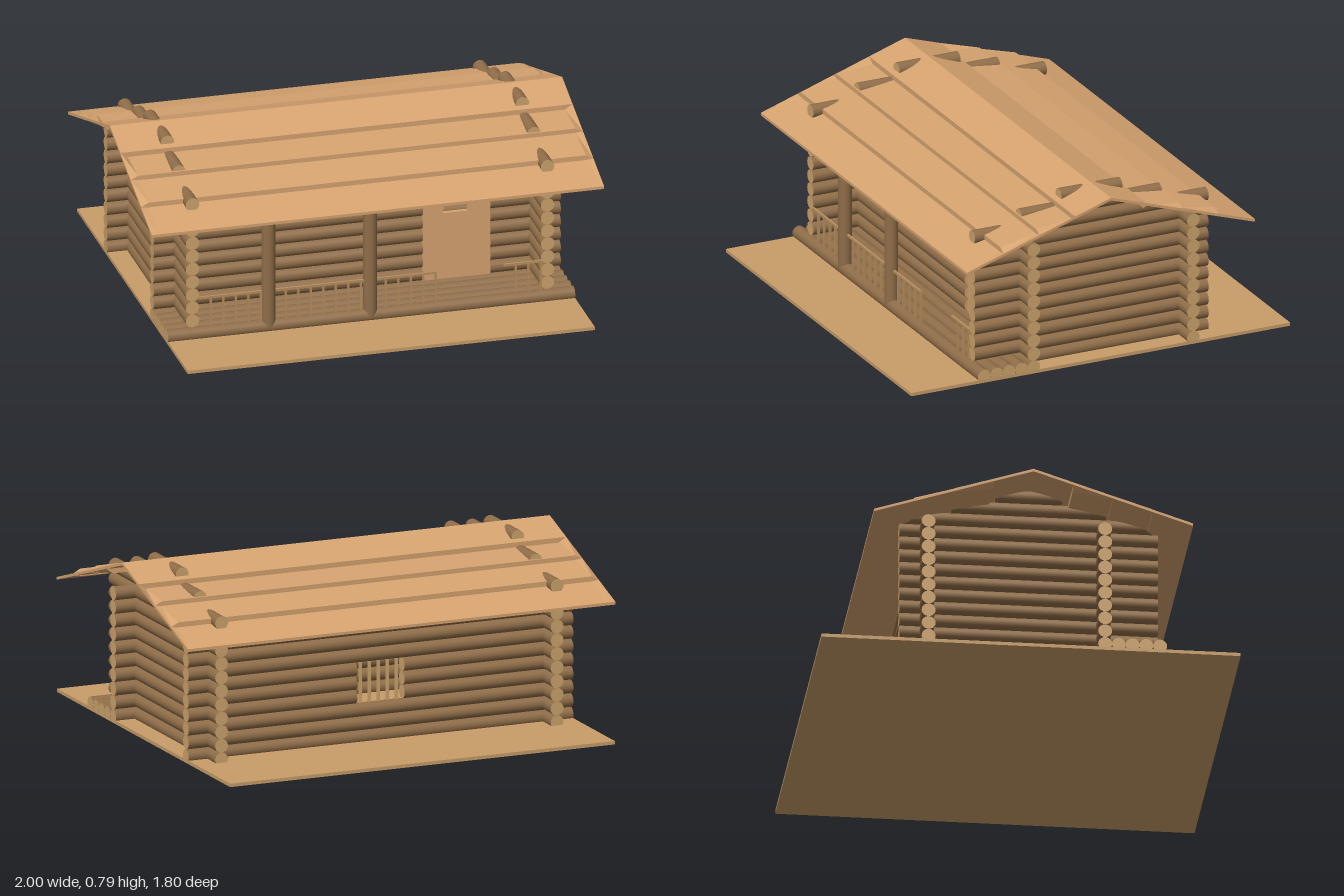
import * as THREE from 'three';

const mat = (color) => new THREE.MeshStandardMaterial({ color });
const bark = mat(0x8f6d48), cut = mat(0xcda36c), plank = mat(0xd6a36f), baseMat = mat(0xc89c68), railMat = mat(0xb88f5e);
const R = 0.03, STEP = 0.06;
const FRONT = 0.318, BACK = -0.44, SIDE = 0.785;

export function createModel() {
  const model = new THREE.Group();

  const add = (parent, name, geometry, material, x, y, z) => {
    const mesh = new THREE.Mesh(geometry, material);
    mesh.name = name;
    mesh.position.set(x, y, z);
    parent.add(mesh);
    return mesh;
  };
  const box = (parent, name, w, h, d, material, x, y, z) =>
    add(parent, name, new THREE.BoxGeometry(w, h, d), material, x, y, z);
  const group = (name) => {
    const g = new THREE.Group();
    g.name = name;
    model.add(g);
    return g;
  };
  // Round log with bark around it and pale sawn ends, from a to b along an axis
  const log = (parent, name, axis, a, b, x, y, z) => {
    const g = new THREE.CylinderGeometry(R, R, b - a, 20);
    if (axis === 'x') g.rotateZ(Math.PI / 2);
    if (axis === 'z') g.rotateX(Math.PI / 2);
    const p = new THREE.Vector3(x, y, z);
    p[axis] = (a + b) / 2;
    return add(parent, name, g, [bark, cut, cut], p.x, p.y, p.z);
  };
  const height = (k) => R + STEP * k;

  box(model, 'groundSlab', 1.8, 0.015, 1.8, baseMat, 0, 0.0075, 0);

  // Front wall with a door opening, back wall with a window opening
  const frontWall = group('frontWall'), backWall = group('backWall');
  for (let k = 0; k < 10; k++) {
    const y = height(k);
    const front = k === 0 ? [[-0.9, 0.9]] : [[-0.9, 0.29], [0.59, 0.9]];
    const back = k >= 3 && k <= 5 ? [[-0.9, -0.11], [0.11, 0.9]] : [[-0.9, 0.9]];
    front.forEach(([a, b]) => log(frontWall, 'frontLog', 'x', a, b, 0, y, FRONT));
    back.forEach(([a, b]) => log(backWall, 'backLog', 'x', a, b, 0, y, BACK));
  }

  // Side walls, stepping in towards the ridge at the gable
  for (const s of [-1, 1]) {
    const wall = group(s > 0 ? 'leftWall' : 'rightWall');
    for (let k = 0; k < 13; k++) {
      const half = k < 11 ? 0.555 : k === 11 ? 0.333 : 0.145;
      log(wall, 'sideLog', 'z', -half, half, s * SIDE, height(k), 0);
    }
  }

  // Porch floor and posts
  const porch = group('porch');
  for (let i = 1; i <= 4; i++) log(porch, 'porchFloorLog', 'x', -0.9, 0.9, 0, R, FRONT + i * 0.059);
  for (const x of [-0.45, 0]) log(porch, 'porchPost', 'y', 0.03, 0.595, x, 0, 0.555);

  // Porch railing, open in front of the door
  const railing = group('railing');
  for (const [a, b] of [[-0.76, 0.29], [0.59, 0.76]]) {
    box(railing, 'topRail', b - a, 0.01, 0.01, railMat, (a + b) / 2, 0.193, 0.555);
    for (let x = a + 0.055; x < b + 0.01; x += 0.0553) {
      box(railing, 'baluster', 0.009, 0.14, 0.009, railMat, x, 0.123, 0.555);
    }
  }

  // Door with a square hole for its window
  const doorShape = new THREE.Shape();
  doorShape.moveTo(0.29, 0.06).lineTo(0.59, 0.06).lineTo(0.59, 0.6).lineTo(0.29, 0.6).closePath();
  const hole = new THREE.Path();
  hole.moveTo(0.385, 0.365).lineTo(0.385, 0.47).lineTo(0.492, 0.47).lineTo(0.492, 0.365).closePath();
  doorShape.holes.push(hole);
  const door = new THREE.ExtrudeGeometry(doorShape, { depth: 0.02, bevelEnabled: false });
  add(model, 'door', door, plank, 0, 0, FRONT - 0.005);

  // Upright bars in the back window
  const bars = group('windowBars');
  for (let i = -2; i <= 2; i++) box(bars, 'windowBar', 0.012, 0.19, 0.012, cut, i * 0.042, 0.27, BACK);

  model.add(makeRoof());
  return model;
}

// Two slopes of lapped boards; the laps flatten out to a straight edge at the gable ends
function makeRoof() {
  const roof = new THREE.Group();
  roof.name = 'roof';
  const line = (z) => 0.79 - 0.325 * z;
  const T = 0.012;
  // z and height of the board edges, from ridge to eave
  const boards = [[0, 0.79], [0.17, 0.734], [0.17, 0.712], [0.34, 0.695], [0.34, 0.675], [0.51, 0.642], [0.51, 0.62], [0.685, 0.568]];
  const stations = [-1, -0.967, 0.967, 1];

  const slope = (name, s) => {
    const ring = (x) => {
      const flat = Math.abs(x) === 1;
      const top = boards.map(([z, y]) => [x, flat ? line(z) : y, s * z]);
      // underside follows the boards so that it stays beneath the laps
      const under = boards.map(([z, y]) => [x, (flat ? line(z) : Math.min(y, line(z))) - T, s * z]).reverse();
      return [...top, ...under];
    };
    const rings = stations.map(ring);
    const n = rings[0].length, h = n / 2;
    const pos = [];
    const quad = (a, b, c, d) => {
      const order = s > 0 ? [a, b, c, a, c, d] : [a, c, b, a, d, c];
      order.forEach((p) => pos.push(...p));
    };
    for (let i = 0; i < rings.length - 1; i++) {
      for (let j = 0; j < n; j++) {
        const k = (j + 1) % n;
        quad(rings[i][j], rings[i][k], rings[i + 1][k], rings[i + 1][j]);
      }
    }
    // gable end caps
    const first = rings[0], last = rings[rings.length - 1];
    for (let j = 0; j < h - 1; j++) {
      quad(first[j], first[n - 1 - j], first[n - 2 - j], first[j + 1]);
      quad(last[j], last[j + 1], last[n - 2 - j], last[n - 1 - j]);
    }
    const g = new THREE.BufferGeometry();
    g.setAttribute('position', new THREE.Float32BufferAttribute(pos, 3));
    g.computeVertexNormals();
    const material = mat(0xd6a36f);
    material.side = THREE.DoubleSide;
    const mesh = new THREE.Mesh(g, material);
    mesh.name = name;
    roof.add(mesh);
  };
  slope('frontRoofSlope', 1);
  slope('backRoofSlope', -1);
  return roof;
}
